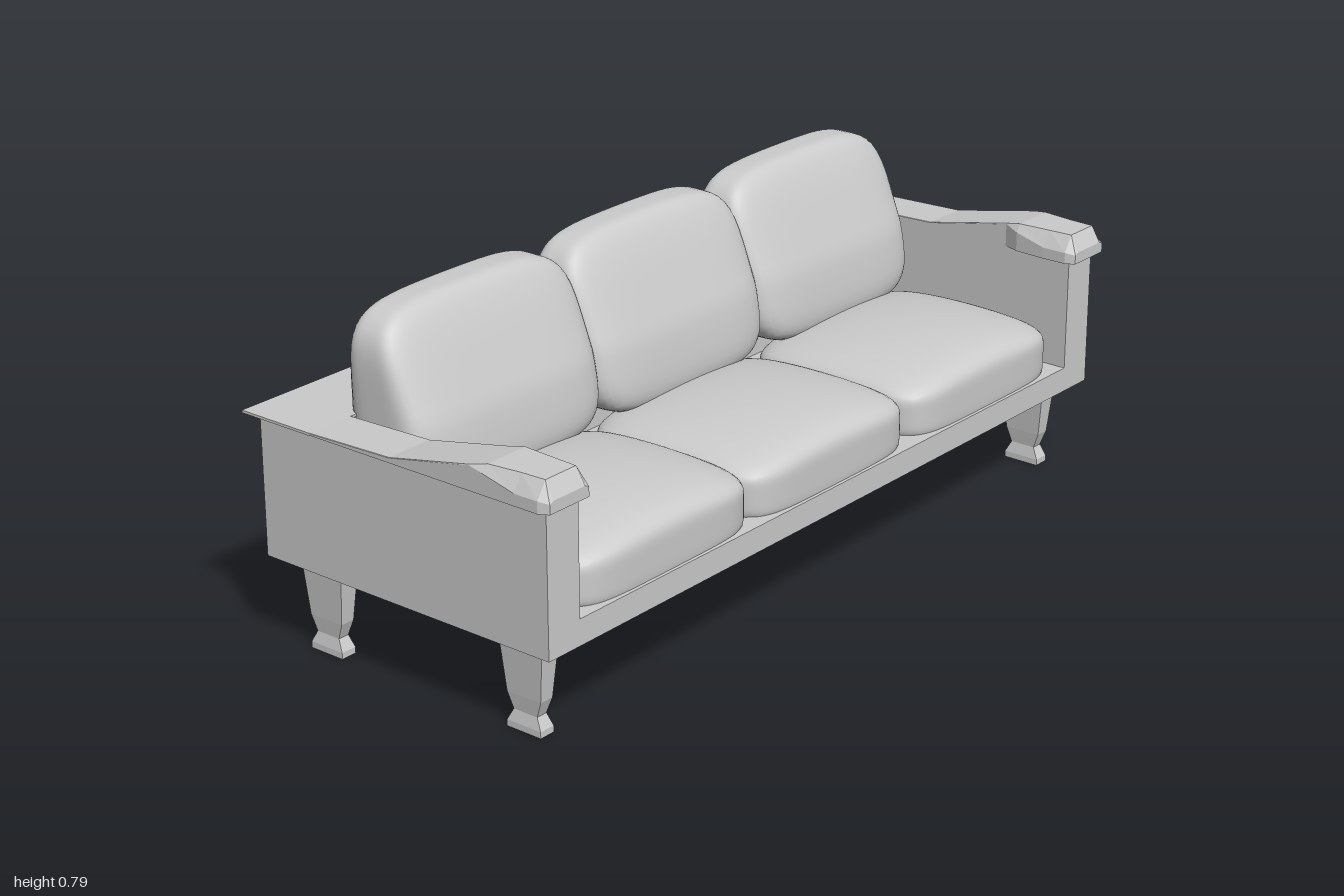
import * as THREE from 'three';
import { mergeVertices } from 'three/addons/utils/BufferGeometryUtils.js';

const material = new THREE.MeshStandardMaterial({ color: 0xcccccc });
const flatMaterial = new THREE.MeshStandardMaterial({ color: 0xcccccc, flatShading: true });

// Joins equal-sized rings of points (counter-clockwise seen from the end) and caps both ends
function loft(rings) {
  const n = rings[0].length;
  const last = (rings.length - 1) * n;
  const index = [];
  for (let i = 0; i < rings.length - 1; i++) {
    for (let j = 0; j < n; j++) {
      const a = i * n + j, b = i * n + (j + 1) % n;
      index.push(a, b, b + n, a, b + n, a + n);
    }
  }
  for (let j = 1; j < n - 1; j++) {
    index.push(0, j + 1, j, last, last + j, last + j + 1);
  }
  const g = new THREE.BufferGeometry();
  g.setAttribute('position', new THREE.Float32BufferAttribute(rings.flat(2), 3));
  g.setIndex(index);
  const flat = g.toNonIndexed();
  flat.computeVertexNormals();
  return flat;
}

// Smooth pillow: a cube rounded to a superellipsoid, then shaped by a rule on (u, v, w) in -1..1
function cushion(power, shape) {
  const g = new THREE.BoxGeometry(2, 2, 2, 22, 16, 18);
  g.deleteAttribute('uv');
  g.deleteAttribute('normal');
  const p = g.attributes.position;
  for (let i = 0; i < p.count; i++) {
    const c = [p.getX(i), p.getY(i), p.getZ(i)];
    const r = c.reduce((s, k) => s + Math.abs(k) ** power, 0) ** (-1 / power);
    p.setXYZ(i, ...shape(c[0] * r, c[1] * r, c[2] * r));
  }
  const merged = mergeVertices(g, 1e-5);
  merged.computeVertexNormals();
  return merged;
}

export function createModel() {
  const group = new THREE.Group();
  const add = (name, geometry, mat = material) => {
    const mesh = new THREE.Mesh(geometry, mat);
    mesh.name = name;
    group.add(mesh);
    return mesh;
  };

  // Frame: U-shaped front outline carried through the depth, with a back wall
  const outline = new THREE.Shape([
    [-0.975, 0.215], [0.975, 0.215], [0.975, 0.545], [0.88, 0.545],
    [0.88, 0.275], [-0.88, 0.275], [-0.88, 0.545], [-0.975, 0.545],
  ].map(([x, y]) => new THREE.Vector2(x, y)));
  add('frame', new THREE.ExtrudeGeometry(outline, { depth: 0.8, bevelEnabled: false })
    .translate(0, 0, -0.4));
  add('backWall', new THREE.BoxGeometry(1.76, 0.27, 0.17).translate(0, 0.41, -0.315));

  // Thin ledge along the back
  add('backLedge', new THREE.BoxGeometry(2, 0.006, 0.2).translate(0, 0.547, -0.327));

  // Armrests: z, inner x, outer x, shoulder y, top y, chamfer width
  const armSections = [
    [-0.227, 0.88, 1.0, 0.549, 0.55, 0.001],
    [0.0, 0.88, 1.0, 0.556, 0.557, 0.001],
    [0.22, 0.88, 1.0, 0.6, 0.602, 0.001],
    [0.26, 0.865, 1.0, 0.591, 0.61, 0.012],
    [0.34, 0.86, 1.0, 0.572, 0.61, 0.022],
    [0.4, 0.86, 1.0, 0.572, 0.61, 0.025],
    [0.422, 0.872, 0.988, 0.567, 0.572, 0.012],
  ];
  for (const side of [1, -1]) {
    const rings = armSections.map(([z, a, b, shoulder, top, c]) => {
      const ring = [
        [a, 0.545], [b, 0.545], [b, shoulder], [b - c, top], [a + c, top], [a, shoulder],
      ].map(([x, y]) => [side * x, y, z]);
      return side > 0 ? ring : ring.reverse();
    });
    add(side > 0 ? 'leftArmrest' : 'rightArmrest', loft(rings), flatMaterial);
  }

  // Legs: y, half width, half depth
  const legSections = [
    [0, 0.02, 0.046], [0.015, 0.02, 0.046], [0.042, 0.014, 0.032],
    [0.08, 0.018, 0.046], [0.216, 0.026, 0.06],
  ];
  const legGeometry = loft(legSections.map(([y, w, d]) =>
    [[w, y, d], [w, y, -d], [-w, y, -d], [-w, y, d]]));
  for (const x of [0.906, -0.906]) {
    for (const z of [0.283, -0.284]) {
      add(z > 0 ? 'frontLeg' : 'backLeg', legGeometry, flatMaterial).position.set(x, 0, z);
    }
  }

  // Seat cushions, fullest in the middle
  const seat = cushion(6, (u, v, w) => [
    0.297 * u,
    0.3185 + 0.1065 * v * (1 - 0.27 * u * u) * (1 - 0.22 * w * w),
    0.143 + 0.25 * w,
  ]);
  [-0.575, -0.01, 0.573].forEach((x) => { add('seatCushion', seat).position.x = x; });

  // Back cushions, leaning back and thinning towards the top
  const back = cushion(5, (u, v, w) => [
    0.296 * u,
    0.58 + 0.205 * v * (1 - 0.04 * u * u),
    -0.165 - 0.04 * v + w * (0.112 - 0.05 * Math.max(v, -0.15)),
  ]);
  [-0.572, 0, 0.572].forEach((x) => { add('backCushion', back).position.x = x; });

  return group;
}
